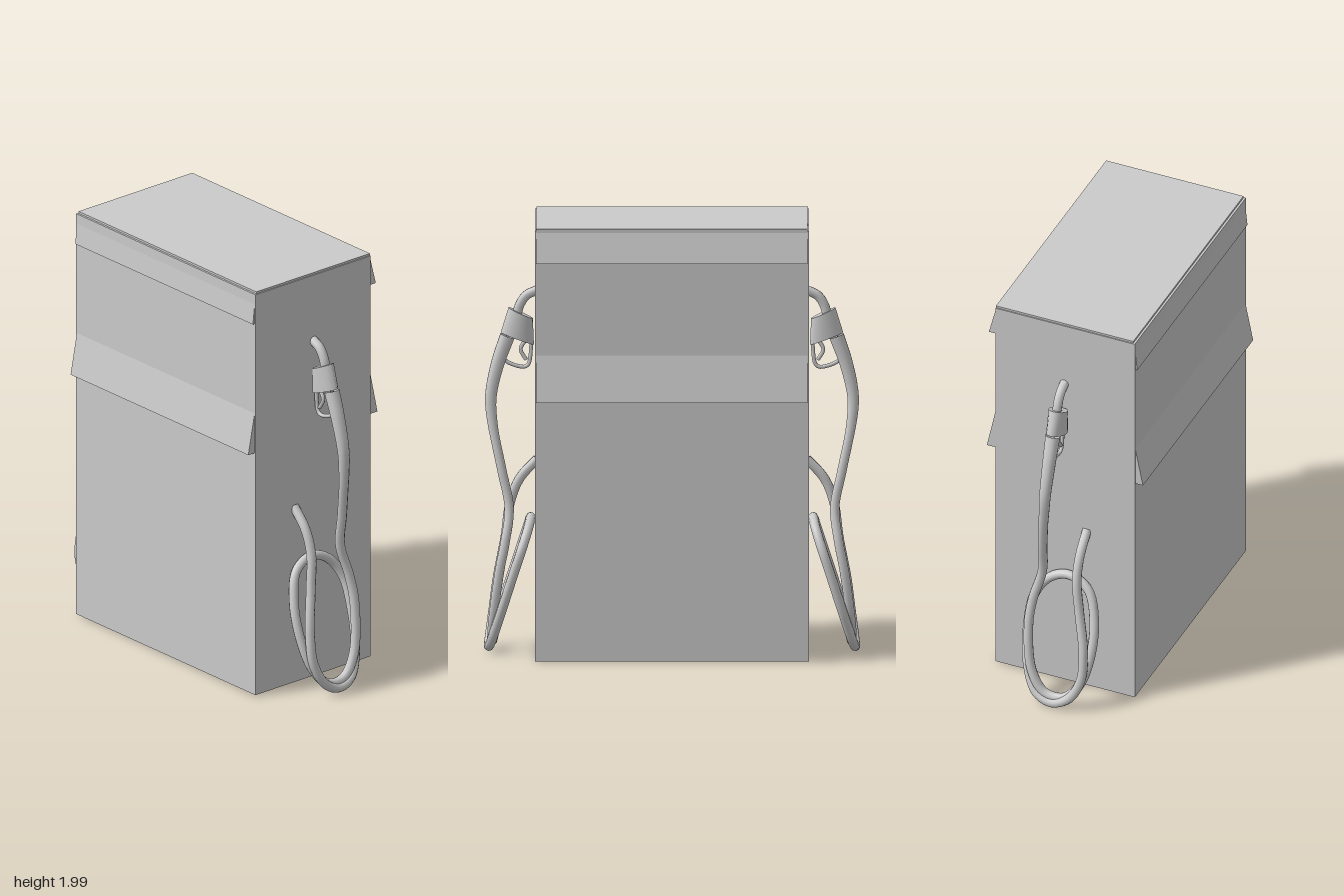
import * as THREE from 'three';

const mat = new THREE.MeshStandardMaterial({ color: 0xcccccc, side: THREE.DoubleSide });
const flat = new THREE.MeshStandardMaterial({ color: 0xcccccc, flatShading: true, side: THREE.DoubleSide });

function add(parent, name, geometry, material = mat) {
  const mesh = new THREE.Mesh(geometry, material);
  mesh.name = name;
  parent.add(mesh);
  return mesh;
}

// Tube through [x, y, z] points; flare thickens its first stretch
function tube(points, radius, steps, flare = 1, flareLength = 0.12) {
  const curve = new THREE.CatmullRomCurve3(points.map((p) => new THREE.Vector3(...p)), false, 'centripetal');
  const sides = 10;
  const geo = new THREE.TubeGeometry(curve, steps, radius, sides);
  const pos = geo.attributes.position, v = new THREE.Vector3();
  for (let i = 0; i < pos.count; i++) {
    const t = Math.floor(i / (sides + 1)) / steps;
    const k = 1 + (flare - 1) * Math.max(0, 1 - t / flareLength);
    const c = curve.getPointAt(t);
    v.fromBufferAttribute(pos, i).sub(c).multiplyScalar(k).add(c);
    pos.setXYZ(i, v.x, v.y, v.z);
  }
  return geo;
}

// Sloping strip with a triangular section, running along z
function strip(x, xOut, yLow, yHigh) {
  const shape = new THREE.Shape([[x, yLow], [xOut, yLow], [x, yHigh]].map((p) => new THREE.Vector2(...p)));
  return new THREE.ExtrudeGeometry(shape, { depth: 1.23, bevelEnabled: false }).translate(0, 0, -0.615);
}

// Nozzle body: an upright cylinder whose ends slope down towards the cabinet
function nozzleBody(s) {
  const geo = new THREE.CylinderGeometry(1, 1, 1, 20, 1);
  const pos = geo.attributes.position;
  for (let i = 0; i < pos.count; i++) {
    const top = pos.getY(i) > 0, k = pos.getZ(i) * s;
    const z = top ? 0.685 + 0.055 * k : 0.7 + 0.075 * k;
    const y = top ? 1.565 + 0.025 * k : 1.448 + 0.028 * k;
    pos.setXYZ(i, pos.getX(i) * 0.042, y, z * s);
  }
  geo.computeVertexNormals();
  return geo;
}

const HOSE = [
  [0, 1.46, 0.745], [0, 1.33, 0.79], [0.005, 1.18, 0.82], [0.015, 1.06, 0.812], [0.04, 0.85, 0.77],
  [0.057, 0.68, 0.737], [0.095, 0.53, 0.755], [0.105, 0.4, 0.78], [0.075, 0.17, 0.81], [0.01, 0.07, 0.815],
  [-0.08, 0.065, 0.81], [-0.15, 0.14, 0.79], [-0.185, 0.28, 0.745], [-0.18, 0.45, 0.69], [-0.13, 0.58, 0.65],
  [-0.03, 0.625, 0.64], [0.06, 0.59, 0.65], [0.12, 0.5, 0.68], [0.132, 0.38, 0.72], [0.11, 0.19, 0.78],
  [0.05, 0.065, 0.82], [-0.03, 0.036, 0.83], [-0.11, 0.075, 0.825], [-0.165, 0.18, 0.81], [-0.17, 0.33, 0.79],
  [-0.135, 0.52, 0.755], [-0.113, 0.68, 0.733], [-0.11, 0.79, 0.69], [-0.11, 0.88, 0.61],
];

export function createModel() {
  const model = new THREE.Group();
  model.name = 'fuelPump';

  // Cabinet with a slim cap plate
  add(model, 'cabinet', new THREE.BoxGeometry(0.69, 1.97, 1.24).translate(-0.005, 1.005, 0), flat);
  add(model, 'capPlate', new THREE.BoxGeometry(0.68, 0.01, 1.23).translate(0, 1.995, 0), flat);

  // Sloping strips on both long sides
  add(model, 'leftTopStrip', strip(0.338, 0.375, 1.845, 1.99), flat);
  add(model, 'rightTopStrip', strip(-0.345, -0.36, 1.845, 1.99), flat);
  add(model, 'leftCanopy', strip(0.338, 0.385, 1.21, 1.43), flat);
  add(model, 'rightCanopy', strip(-0.345, -0.388, 1.21, 1.43), flat);

  // A nozzle and coiled hose at each end
  for (const s of [1, -1]) {
    const set = new THREE.Group();
    set.name = s > 0 ? 'frontHoseSet' : 'backHoseSet';
    model.add(set);
    const at = (points) => points.map(([x, y, z]) => [x, y, z * s]);

    add(set, 'hose', tube(at(HOSE), 0.022, 220, 1.6));
    add(set, 'nozzleBody', nozzleBody(s));
    add(set, 'spout', tube(at([[0, 1.54, 0.705], [0, 1.6, 0.69], [0, 1.645, 0.66], [0, 1.67, 0.61]]), 0.022, 16));
    add(set, 'triggerGuard', tube(at([[0, 1.46, 0.745], [0, 1.36, 0.762], [0, 1.34, 0.745], [0, 1.318, 0.67],
      [0, 1.33, 0.65], [0, 1.44, 0.635]]), 0.009, 30));
    add(set, 'trigger', tube(at([[0, 1.45, 0.655], [0, 1.4, 0.685], [0, 1.35, 0.66]]), 0.009, 12));
  }
  return model;
}
